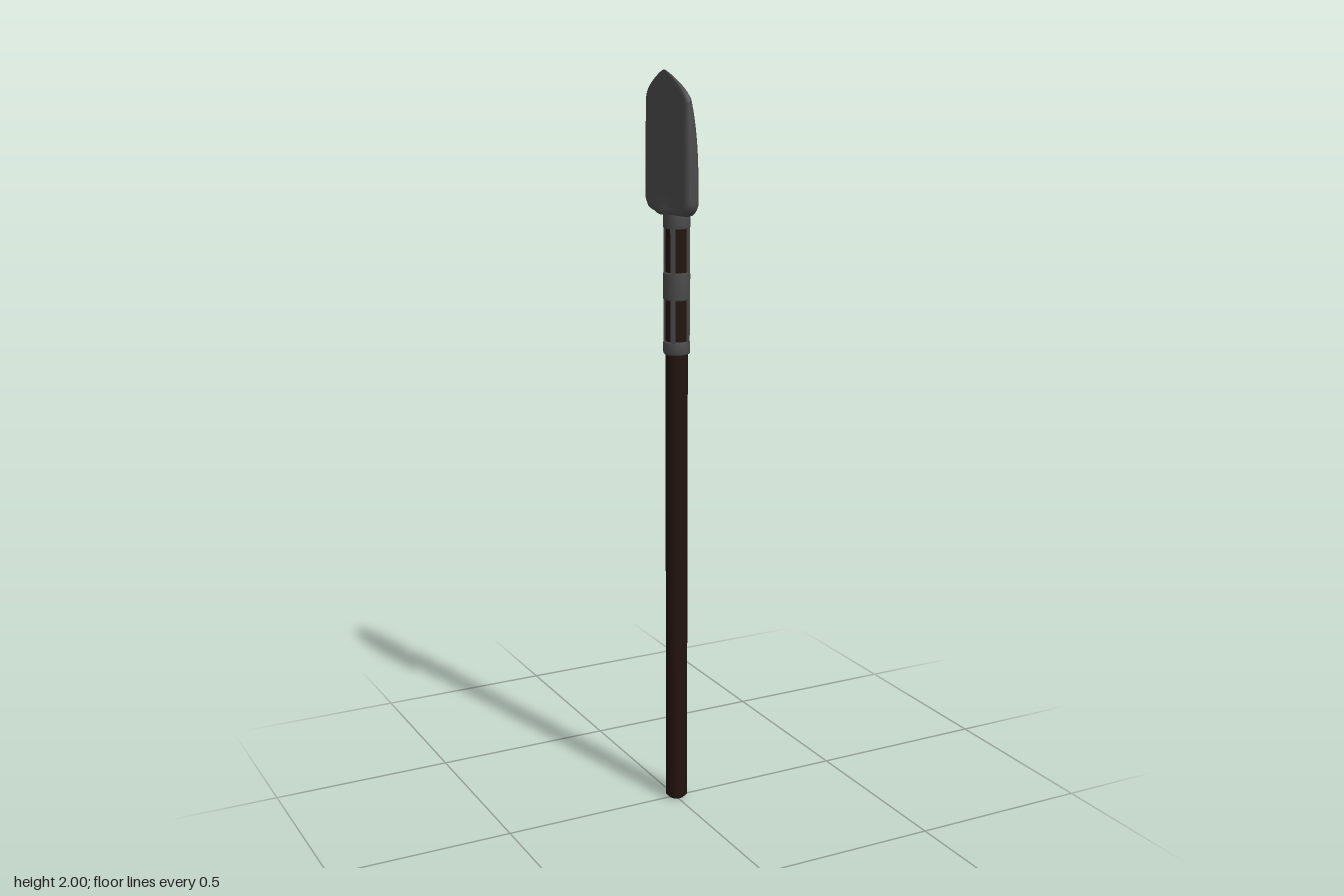
import * as THREE from 'three';
import { mergeVertices } from 'three/addons/utils/BufferGeometryUtils.js';

const AXIS_X = 0.004; // shaft centre line

const wood = new THREE.MeshStandardMaterial({ color: 0x22130f });
const metal = new THREE.MeshStandardMaterial({ color: 0x4a4a4a });

function add(parent, name, geometry, material, x = 0, y = 0, z = 0) {
  const mesh = new THREE.Mesh(geometry, material);
  mesh.name = name;
  mesh.position.set(x, y, z);
  parent.add(mesh);
  return mesh;
}

// Solid of revolution with a small chamfer at both ends
function chamferedCylinder(radius, y0, y1, chamfer) {
  const outline = [
    [0, y0], [radius - chamfer, y0], [radius, y0 + chamfer],
    [radius, y1 - chamfer], [radius - chamfer, y1], [0, y1],
  ].map(([r, y]) => new THREE.Vector2(r, y));
  return new THREE.LatheGeometry(outline, 14);
}

// Scoop blade: a subdivided box bent into a pointed, tapering wedge
function bladeGeometry() {
  const bottom = 1.637;
  const geometry = new THREE.BoxGeometry(2, 1, 2, 4, 24, 20);
  const p = geometry.attributes.position;
  for (let i = 0; i < p.count; i++) {
    const s = p.getX(i);          // -1 back face, +1 front face
    const v = p.getY(i) + 0.5;    // 0 bottom, 1 top
    const u = p.getZ(i);          // -1..1 across
    const edge = Math.abs(u);

    // outline: shoulders slope up to the tip, lower corners are rounded
    const top = 2 - 0.055 * Math.pow(edge, 1.3) - 0.012 * Math.pow(edge, 10);
    const low = bottom + 0.012 * Math.pow(edge, 12) + 0.008 * s * s * edge;
    const y = low + v * (top - low);
    const t = Math.min(1, Math.max(0, (y - bottom) / (2 - bottom)));
    const corner = 0.008 * Math.pow(Math.max(0, 1 - v / 0.06), 2);
    const width = 0.12 - 0.013 * Math.pow(t, 3) - corner - 0.006 * Math.pow(s, 4);
    const z = u * width;

    // thickness: thin at the tip, swelling around the shaft at the foot
    const swell = Math.exp(-Math.pow(z / 0.042, 2)) * Math.pow(Math.max(0, 1 - v / 0.16), 1.6);
    const back = -0.033 + 0.004 * u * u - 0.012 * swell;
    const front = -0.03 + 0.037 * (1 - Math.pow(t, 3.5)) + 0.03 * swell;
    p.setXYZ(i, back + (front - back) * (s + 1) / 2, y, z);
  }
  // shared vertices give soft, continuous shading
  geometry.deleteAttribute('uv');
  geometry.deleteAttribute('normal');
  const smooth = mergeVertices(geometry, 1e-5);
  smooth.computeVertexNormals();
  return smooth;
}

export function createModel() {
  const model = new THREE.Group();
  model.name = 'shovel';

  // Wooden shaft
  add(model, 'shaft', chamferedCylinder(0.03, 0, 1.63, 0.009), wood, AXIS_X);

  // Metal sleeve: three bands joined by four slim straps
  const sleeve = new THREE.Group();
  sleeve.name = 'sleeve';
  sleeve.position.x = AXIS_X;
  model.add(sleeve);
  const bands = [
    ['lowerBand', 1.268, 1.303], ['middleBand', 1.412, 1.485], ['upperBand', 1.598, 1.642],
  ];
  for (const [name, y0, y1] of bands) {
    add(sleeve, name, chamferedCylinder(0.036, y0, y1, 0.004), metal);
  }
  for (let i = 0; i < 4; i++) {
    const angle = Math.PI / 4 + i * Math.PI / 2;
    const strap = add(sleeve, 'strap', new THREE.BoxGeometry(0.013, 0.34, 0.008), metal,
      Math.sin(angle) * 0.03, 1.453, Math.cos(angle) * 0.03);
    strap.rotation.y = angle;
  }

  // Blade
  add(model, 'blade', bladeGeometry(), metal);

  return model;
}
